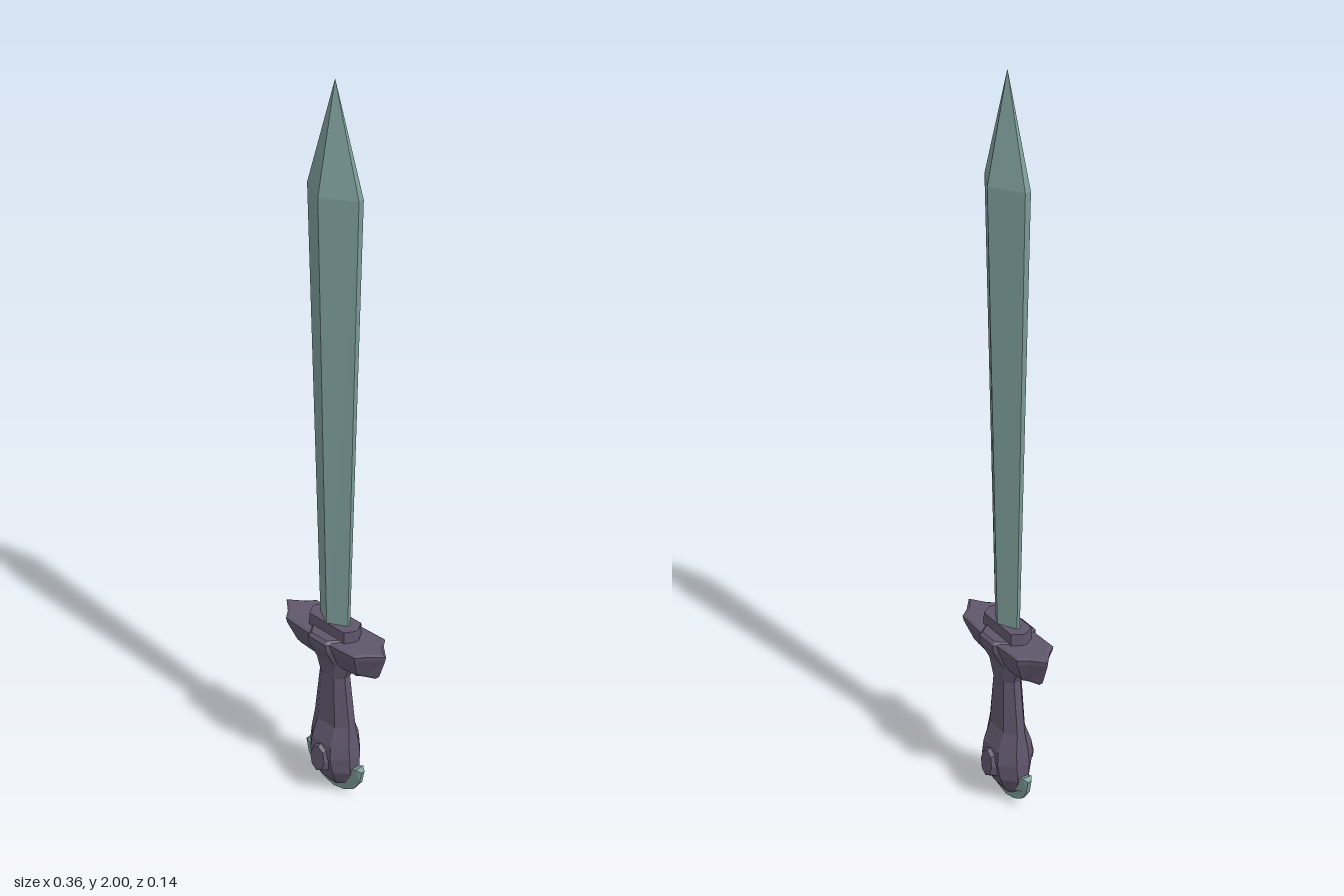
import * as THREE from 'three';

const steel = new THREE.MeshStandardMaterial({ color: 0x7a9a96, flatShading: true });
const hilt = new THREE.MeshStandardMaterial({ color: 0x5f566b, flatShading: true });

// Mirrors a quarter outline (+x axis towards +z) into a full ring of [x, z]
function ringFromQuarter(q) {
  const half = [...q, ...q.filter(p => p[0] > 0).reverse().map(([x, z]) => [-x, z])];
  return [...half, ...half.filter(p => p[1] > 0).reverse().map(([x, z]) => [x, -z])];
}

// Stacks a ring at rows of [y, xScale, zScale]; lift raises the points far from the centre
function loft(name, ring, rows, material, lift = 0) {
  const pos = [];
  const at = (r, j) => {
    const [y, w, d] = rows[r], [x, z] = ring[j % ring.length];
    return [x * w, y + lift * Math.abs(x * w), z * d];
  };
  const last = rows.length - 1;
  for (let j = 0; j < ring.length; j++) {
    for (let r = 0; r < last; r++) {
      const a = at(r, j), b = at(r, j + 1), c = at(r + 1, j), d = at(r + 1, j + 1);
      pos.push(...a, ...c, ...b, ...b, ...c, ...d);
    }
    pos.push(0, rows[0][0], 0, ...at(0, j), ...at(0, j + 1));
    pos.push(0, rows[last][0], 0, ...at(last, j + 1), ...at(last, j));
  }
  const g = new THREE.BufferGeometry();
  g.setAttribute('position', new THREE.Float32BufferAttribute(pos, 3));
  g.computeVertexNormals();
  const mesh = new THREE.Mesh(g, material);
  mesh.name = name;
  return mesh;
}

export function createModel() {
  const group = new THREE.Group();
  group.name = 'sword';
  const octagon = ringFromQuarter([[1, 0.35], [0.5, 1]]);

  // Blade: ridged on both faces, with narrow flat edges
  const bladeRing = ringFromQuarter([[1, 0.14], [0, 1]]);
  group.add(loft('blade', bladeRing,
    [[0.5, 0.048, 0.03], [1.74, 0.082, 0.055], [2, 0.0005, 0.0005]], steel));

  // Collar around the blade root
  group.add(loft('collar', ringFromQuarter([[1, 0.2], [0.8, 1]]),
    [[0.5, 0.08, 0.033], [0.56, 0.078, 0.031]], hilt));

  // Crossguard: pointed ends, narrowing downwards
  const guardRing = ringFromQuarter([[1, 0], [0.79, 0.55], [0.69, 0.97], [0.2, 1]]);
  group.add(loft('crossguard', guardRing,
    [[0.434, 0.145, 0.024], [0.446, 0.158, 0.032], [0.505, 0.178, 0.056],
      [0.519, 0.181, 0.058], [0.523, 0.172, 0.052]], hilt, 0.05));

  // Flared block joining guard and grip
  group.add(loft('guardCentre', octagon,
    [[0.39, 0.044, 0.03], [0.44, 0.066, 0.034], [0.5, 0.064, 0.065],
      [0.522, 0.062, 0.067], [0.53, 0.056, 0.058]], hilt));

  // Grip swelling into the pommel
  group.add(loft('grip', octagon,
    [[0.02, 0.025, 0.012], [0.045, 0.055, 0.028], [0.09, 0.074, 0.048],
      [0.14, 0.074, 0.057], [0.18, 0.07, 0.053], [0.235, 0.064, 0.034],
      [0.4, 0.044, 0.028]], hilt));

  // Oval studs on both faces of the pommel
  for (const side of [1, -1]) {
    const g = new THREE.CylinderGeometry(0.026, 0.036, 0.03, 8);
    g.rotateX(side * Math.PI / 2);
    g.scale(1, 1.5, 1);
    const stud = new THREE.Mesh(g, hilt);
    stud.name = side > 0 ? 'frontStud' : 'backStud';
    stud.position.set(0, 0.13, side * 0.053);
    stud.rotation.x = side * -0.08;
    group.add(stud);
  }

  // Crescent cap under the pommel
  const outer = [[0.105, 0.105], [0.097, 0.065], [0.075, 0.032], [0.04, 0.01], [0, 0]];
  const inner = [[0, 0.035], [0.03, 0.04], [0.055, 0.06], [0.068, 0.1], [0.092, 0.112]];
  const flip = pts => pts.slice().reverse().map(([x, y]) => [-x, y]);
  const outline = [...outer, ...flip(outer).slice(1), ...flip(inner), ...inner.slice(1)];
  const shape = new THREE.Shape(outline.map(([x, y]) => new THREE.Vector2(x, y)));
  const cap = new THREE.ExtrudeGeometry(shape, { depth: 0.028, bevelEnabled: false });
  cap.translate(0, 0, -0.014);
  // Thin the cap towards its rim
  const p = cap.attributes.position;
  for (let i = 0; i < p.count; i++) {
    const r = Math.hypot(p.getX(i), p.getY(i) - 0.105);
    if (r > 0.093) p.setZ(i, p.getZ(i) * 0.4);
  }
  cap.computeVertexNormals();
  const crescent = new THREE.Mesh(cap, steel);
  crescent.name = 'pommelCrescent';
  group.add(crescent);

  return group;
}
